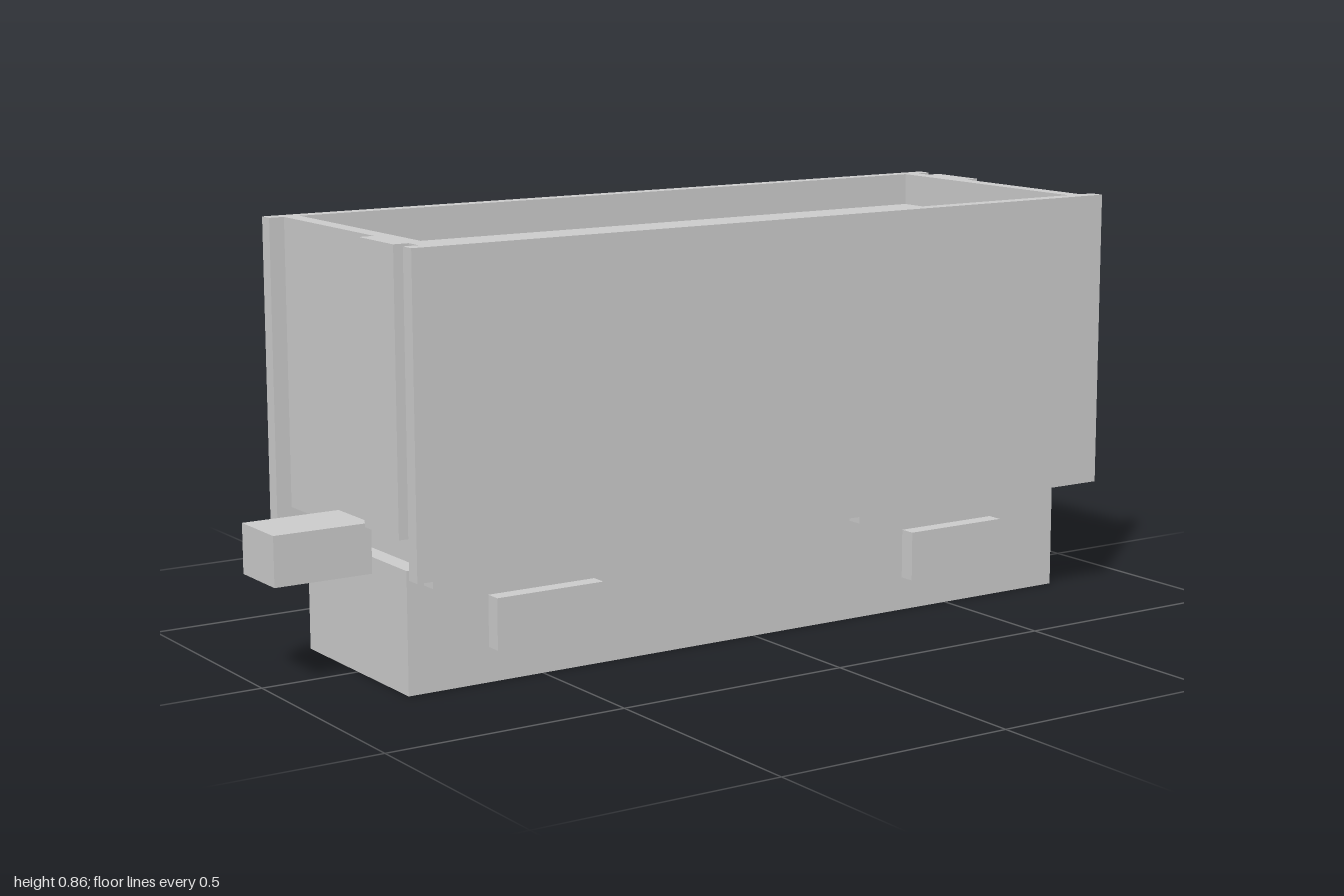
import * as THREE from 'three';

export function createModel() {
  const model = new THREE.Group();
  model.name = 'wagon';
  const material = new THREE.MeshStandardMaterial({ color: 0xcccccc, flatShading: true });

  // Box given by its [min, max] extents along each axis
  function box(name, [x0, x1], [y0, y1], [z0, z1]) {
    const mesh = new THREE.Mesh(new THREE.BoxGeometry(x1 - x0, y1 - y0, z1 - z0), material);
    mesh.position.set((x0 + x1) / 2, (y0 + y1) / 2, (z0 + z1) / 2);
    mesh.name = name;
    model.add(mesh);
    return mesh;
  }
  const mirrored = (sign, a, b) => (sign > 0 ? [a, b] : [-b, -a]);

  const top = 0.863;
  box('underframe', [-0.795, 0.795], [0, 0.243], [-0.207, 0.207]);
  // Filled body, with its top sunk below the rim
  box('body', [-0.795, 0.795], [0.278, 0.795], [-0.277, 0.277]);

  for (const s of [1, -1]) {
    box('sidePanel', [-0.827, 0.827], [0.243, top], mirrored(s, 0.277, 0.309));
    box('endRim', mirrored(s, 0.76, 0.795), [0.795, top], [-0.277, 0.277]);
    // One upright per end, at diagonally opposite corners
    box('endUpright', mirrored(s, 0.795, 0.827), [0.312, top], mirrored(-s, 0.104, 0.24));
    box('coupler', mirrored(s, 0.795, 1), [0.21, 0.31], [-0.068, 0.068]);
    // Bolster carrying the body above the underframe
    box('bolster', mirrored(s, 0.242, 0.758), [0.21, 0.278], [-0.241, 0.241]);
    for (const side of [1, -1]) {
      box('axleBox', mirrored(s, 0.382, 0.62), [0.07, 0.173], mirrored(side, 0.207, 0.241));
    }
  }
  return model;
}
